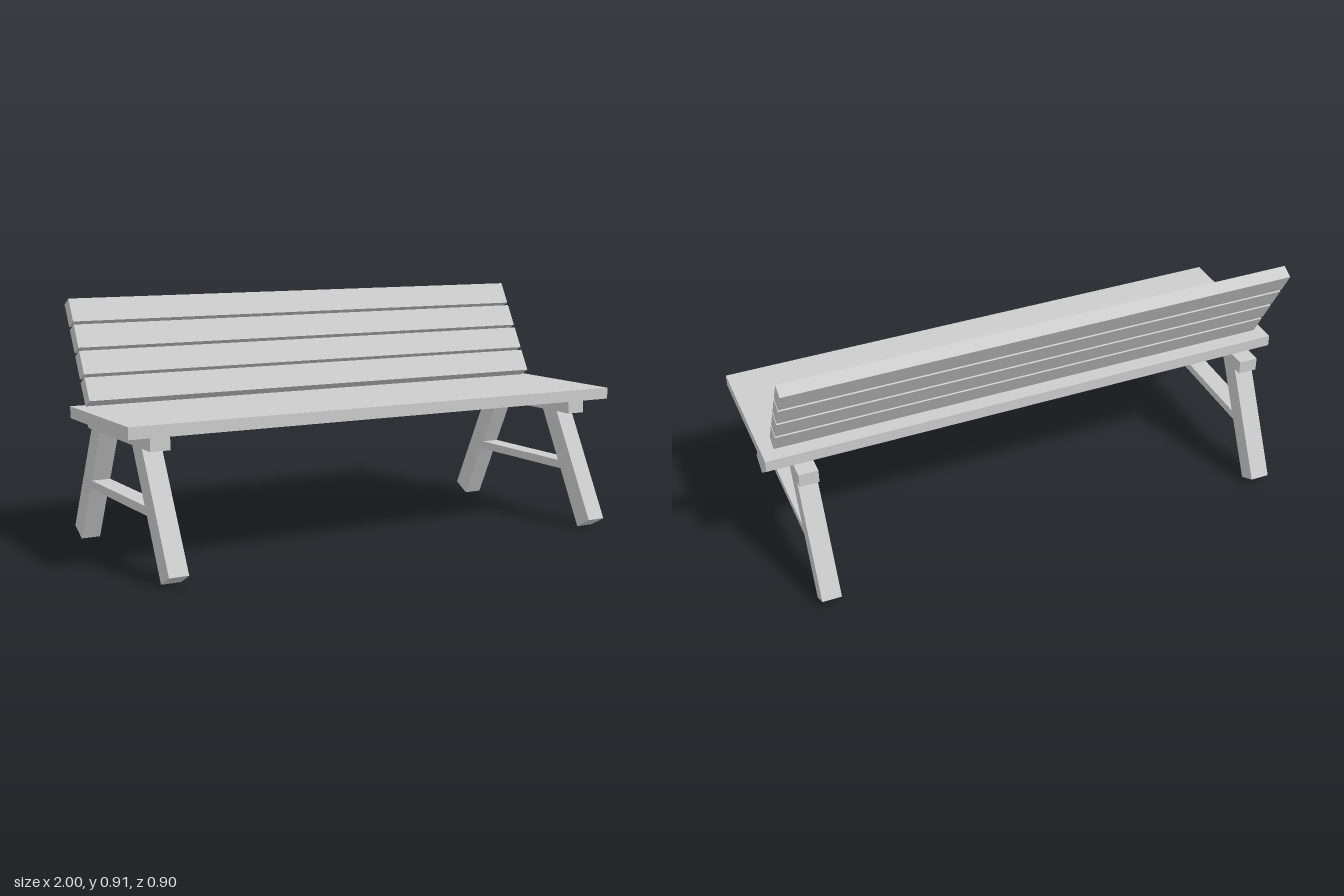
import * as THREE from 'three';

const SLAT_TILT = -THREE.MathUtils.degToRad(28.9);
const FRAME_WIDTH = 0.072;

export function createModel() {
  const bench = new THREE.Group();
  bench.name = 'bench';
  const wood = new THREE.MeshStandardMaterial({ color: 0xcccccc });
  wood.name = 'pale grey';

  function add(parent, name, geometry, x = 0, y = 0, z = 0) {
    const mesh = new THREE.Mesh(geometry, wood);
    mesh.name = name;
    mesh.position.set(x, y, z);
    parent.add(mesh);
    return mesh;
  }

  // Side profile given as [z, y] points, extruded across x and centred on x = 0
  function sidePanel(points) {
    const shape = new THREE.Shape(points.map(([z, y]) => new THREE.Vector2(z, y)));
    return new THREE.ExtrudeGeometry(shape, { depth: FRAME_WIDTH, bevelEnabled: false })
      .translate(0, 0, -FRAME_WIDTH / 2)
      .rotateY(-Math.PI / 2);
  }

  // Seat board
  add(bench, 'seat', new THREE.BoxGeometry(2, 0.043, 0.556), 0, 0.5065, 0.061);

  // Four tilted backrest slats
  for (let i = 0; i < 4; i++) {
    const slat = add(bench, 'backSlat', new THREE.BoxGeometry(1.917, 0.091, 0.049),
      -0.004, 0.583 + i * 0.0902, -0.1625 - i * 0.0497);
    slat.rotation.x = SLAT_TILT;
  }

  // Trestle frames: splayed legs, top beam and stretcher
  for (const x of [-0.876, 0.868]) {
    const frame = new THREE.Group();
    frame.name = 'trestle';
    frame.position.x = x;
    bench.add(frame);
    add(frame, 'beam', new THREE.BoxGeometry(FRAME_WIDTH, 0.051, 0.589), 0, 0.4595, 0.0155);
    add(frame, 'frontLeg', sidePanel([[0.381, 0], [0.449, 0.037], [0.237, 0.434], [0.15, 0.434]]));
    add(frame, 'backLeg', sidePanel([[-0.381, 0], [-0.16, 0.434], [-0.246, 0.434], [-0.449, 0.037]]));
    add(frame, 'stretcher', sidePanel([[0.27, 0.211], [0.253, 0.242], [-0.257, 0.242], [-0.273, 0.211]]));
  }
  return bench;
}
